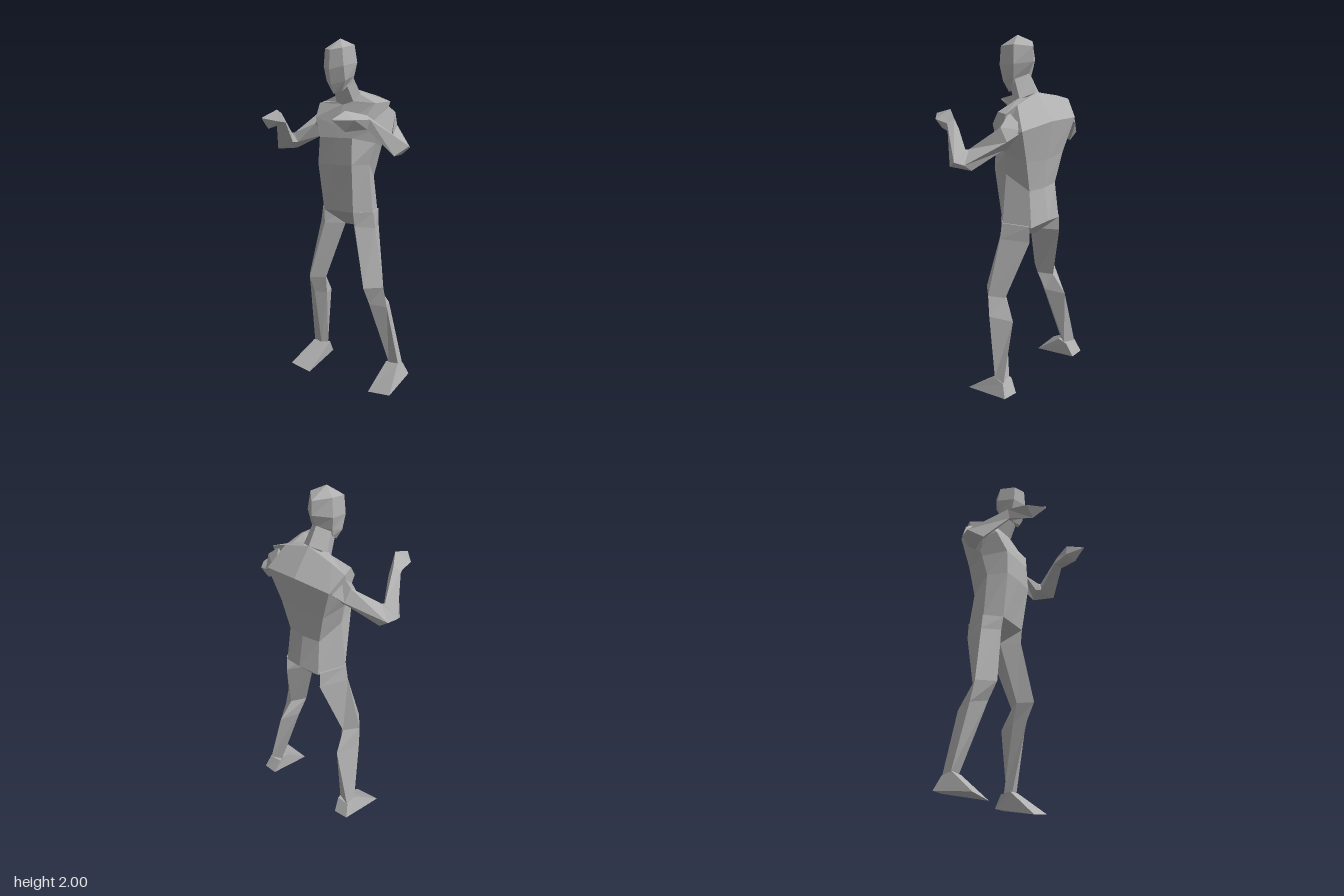
import * as THREE from 'three';

const grey = new THREE.MeshStandardMaterial({ color: 0xb0b0b0, flatShading: true });
grey.name = 'plain grey';

// Skin a list of cross-sections (each counter-clockwise about the loft direction), with end caps
function loft(name, rings) {
  const n = rings[0].length, pos = [];
  const tri = (a, b, c) => pos.push(...a, ...b, ...c);
  for (let r = 0; r < rings.length - 1; r++) {
    const lo = rings[r], hi = rings[r + 1];
    for (let i = 0; i < n; i++) {
      const j = (i + 1) % n;
      tri(lo[i], lo[j], hi[j]);
      tri(lo[i], hi[j], hi[i]);
    }
  }
  const first = rings[0], last = rings[rings.length - 1];
  for (let i = 1; i < n - 1; i++) {
    tri(first[0], first[i + 1], first[i]);
    tri(last[0], last[i], last[i + 1]);
  }
  const geo = new THREE.BufferGeometry();
  geo.setAttribute('position', new THREE.Float32BufferAttribute(pos, 3));
  geo.computeVertexNormals();
  const mesh = new THREE.Mesh(geo, grey);
  mesh.name = name;
  return mesh;
}

const flip = ([x, y, z]) => [-x, y, z];

// Complete a half ring (front centre ... back centre) with its mirror image
const whole = (half) => [...half, ...half.slice(1, -1).reverse().map(flip)];

// Mirror rings to the other side, keeping the winding outward
const mirrored = (rings) => rings.map((ring) => ring.map(flip).reverse());

export function createModel() {
  const model = new THREE.Group();
  model.name = 'figure';

  // Torso: front centre, front corner, side, back corner, back centre
  model.add(loft('torso', [
    [[0, 0.95, -0.15], [0.03, 0.95, -0.15], [0.04, 0.95, -0.17], [0.03, 0.95, -0.2], [0, 0.95, -0.21]],
    [[0, 1.04, -0.045], [0.105, 1.04, -0.045], [0.18, 1.04, -0.13], [0.11, 1.03, -0.275], [0, 1.05, -0.3]],
    [[0, 1.31, -0.005], [0.12, 1.31, -0.01], [0.152, 1.31, -0.13], [0.1, 1.23, -0.25], [0, 1.23, -0.265]],
    [[0, 1.46, -0.015], [0.115, 1.46, -0.018], [0.18, 1.43, -0.15], [0.14, 1.4, -0.265], [0, 1.39, -0.28]],
    [[0, 1.52, -0.035], [0.175, 1.57, -0.055], [0.22, 1.53, -0.17], [0.2, 1.58, -0.29], [0, 1.6, -0.312]],
    [[0, 1.645, -0.085], [0.2, 1.65, -0.12], [0.235, 1.66, -0.21], [0.15, 1.69, -0.207], [0, 1.73, -0.2]],
    [[0, 1.645, -0.085], [0.06, 1.66, -0.1], [0.075, 1.7, -0.14], [0.05, 1.71, -0.18], [0, 1.73, -0.2]],
  ].map(whole)));

  // Neck: front, front side, back side, back
  model.add(loft('neck', [
    [[0, 1.64, -0.08], [0.06, 1.66, -0.1], [0.075, 1.7, -0.15], [0, 1.73, -0.2]],
    [[0, 1.73, -0.04], [0.05, 1.74, -0.06], [0.06, 1.79, -0.1], [0, 1.82, -0.14]],
  ].map(whole)));

  // Head, from jaw to crown
  model.add(loft('head', [
    [[0, 1.7, 0], [0.035, 1.715, -0.03], [0.06, 1.76, -0.09], [0, 1.79, -0.13]],
    [[0, 1.75, 0.022], [0.065, 1.77, -0.02], [0.068, 1.8, -0.1], [0, 1.81, -0.14]],
    [[0, 1.83, 0.04], [0.07, 1.85, 0], [0.08, 1.87, -0.11], [0, 1.88, -0.172]],
    [[0, 1.935, 0.032], [0.06, 1.945, 0], [0.068, 1.965, -0.1], [0, 1.955, -0.172]],
    [[0, 2, -0.06], [0, 2, -0.06], [0, 2, -0.06], [0, 2, -0.06]],
  ].map(whole)));

  // Arm: top, inner, bottom, outer; shoulder to elbow to wrist
  const upperArm = [
    [[0.2, 1.66, -0.2], [0.17, 1.56, -0.09], [0.16, 1.45, -0.16], [0.17, 1.58, -0.28]],
    [[0.27, 1.6, -0.21], [0.235, 1.53, -0.12], [0.22, 1.46, -0.17], [0.26, 1.53, -0.245]],
    [[0.35, 1.475, -0.065], [0.33, 1.42, -0.07], [0.38, 1.38, -0.115], [0.43, 1.42, -0.117]],
  ];
  const foreArm = [
    upperArm[2],
    [[0.365, 1.475, -0.055], [0.345, 1.42, -0.04], [0.415, 1.38, 0.012], [0.455, 1.43, -0.07]],
    [[0.3, 1.592, 0.1], [0.28, 1.54, 0.09], [0.32, 1.52, 0.12], [0.335, 1.57, 0.117]],
  ];
  const hand = [
    foreArm[2],
    [[0.24, 1.615, 0.2], [0.227, 1.55, 0.2], [0.27, 1.51, 0.24], [0.32, 1.57, 0.23]],
    [[0.245, 1.575, 0.31], [0.242, 1.57, 0.31], [0.245, 1.565, 0.31], [0.248, 1.57, 0.31]],
  ];

  // Leg: front, outer, back, inner; ankle up to hip
  const shin = [
    [[0.26, 0.14, -0.198], [0.32, 0.145, -0.205], [0.31, 0.13, -0.265], [0.24, 0.135, -0.24]],
    [[0.205, 0.52, -0.07], [0.287, 0.5, -0.13], [0.22, 0.49, -0.25], [0.165, 0.5, -0.14]],
    [[0.2, 0.62, -0.02], [0.275, 0.62, -0.11], [0.2, 0.6, -0.17], [0.14, 0.61, -0.1]],
  ];
  const thigh = [
    shin[2],
    [[0.11, 0.96, -0.055], [0.2, 0.95, -0.13], [0.12, 0.95, -0.275], [0.03, 0.95, -0.15]],
    [[0.105, 1.04, -0.045], [0.186, 1.04, -0.13], [0.12, 1.04, -0.27], [0.02, 1.04, -0.16]],
  ];

  // Foot: wedge sole, wide at the toe, rising to the ankle
  const foot = [
    [[0.225, 0, -0.04], [0.375, 0.02, -0.04], [0.335, 0.055, -0.3], [0.25, 0.055, -0.305]],
    [[0.24, 0.14, -0.2], [0.32, 0.145, -0.2], [0.315, 0.13, -0.265], [0.24, 0.13, -0.26]],
  ];

  const limbs = { UpperArm: upperArm, ForeArm: foreArm, Hand: hand, Thigh: thigh, Shin: shin, Foot: foot };
  for (const [part, rings] of Object.entries(limbs)) {
    model.add(loft('left' + part, rings), loft('right' + part, mirrored(rings)));
  }
  return model;
}
